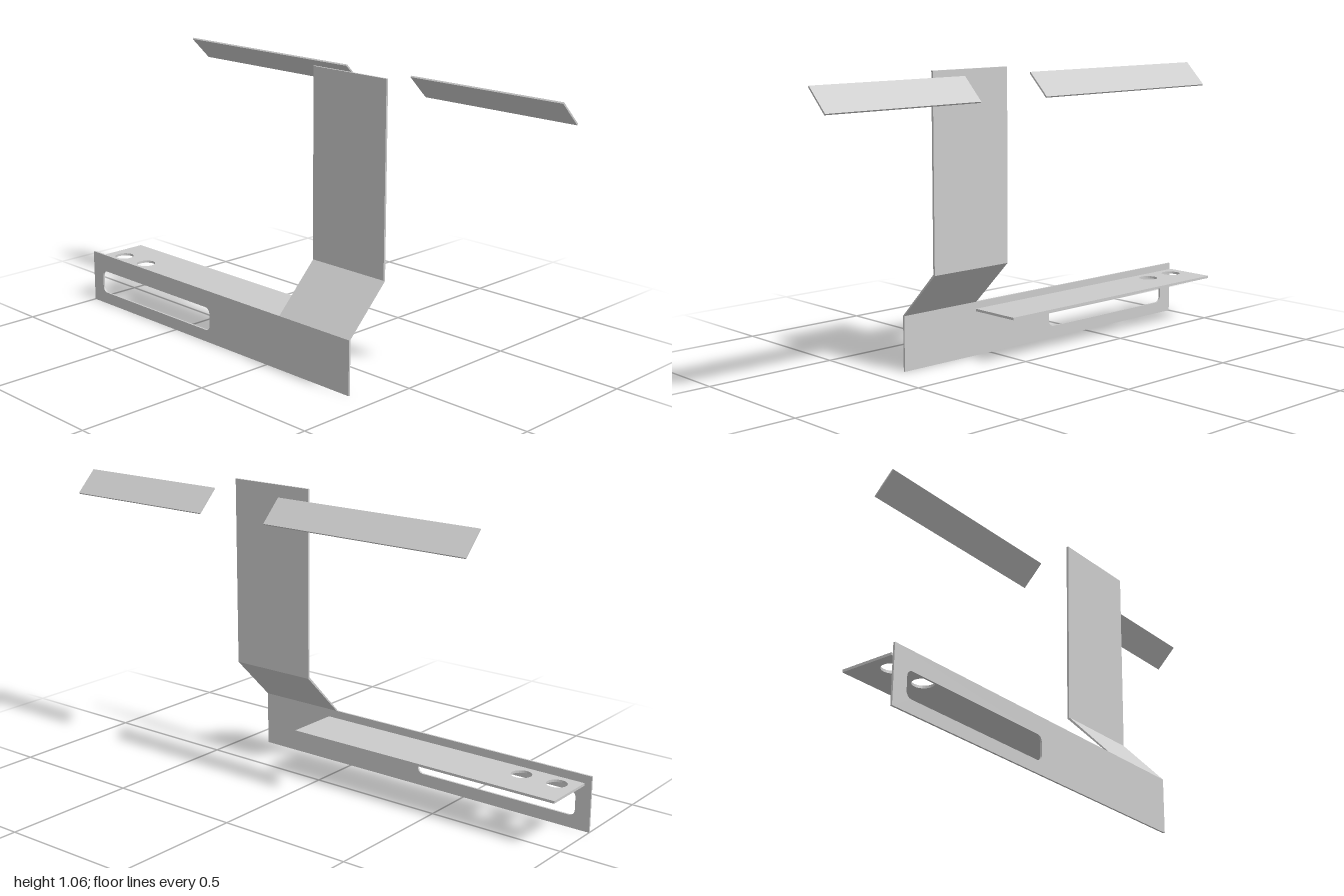
import * as THREE from 'three';

const material = new THREE.MeshStandardMaterial({ color: 0xcccccc, flatShading: true });

// Closed polygon from [x, y] pairs
const polygon = (points) => new THREE.Shape(points.map(([x, y]) => new THREE.Vector2(x, y)));
const rect = (x0, y0, x1, y1) => polygon([[x0, y0], [x1, y0], [x1, y1], [x0, y1]]);

function extrude(shape, depth) {
  return new THREE.ExtrudeGeometry(shape, { depth, bevelEnabled: false, curveSegments: 12 });
}

function roundedSlot(x0, y0, x1, y1, r) {
  const p = new THREE.Path();
  p.absarc(x1 - r, y0 + r, r, -Math.PI / 2, 0);
  p.absarc(x1 - r, y1 - r, r, 0, Math.PI / 2);
  p.absarc(x0 + r, y1 - r, r, Math.PI / 2, Math.PI);
  p.absarc(x0 + r, y0 + r, r, Math.PI, Math.PI * 1.5);
  p.closePath();
  return p;
}

export function createModel() {
  const group = new THREE.Group();
  const add = (name, geometry) => {
    const mesh = new THREE.Mesh(geometry, material);
    mesh.name = name;
    group.add(mesh);
    return mesh;
  };

  // Upright side plate with a long slot, drawn in (-z, y)
  const side = rect(-0.403, 0, 1, 0.2);
  side.holes.push(roundedSlot(0.305, 0.045, 0.943, 0.134, 0.022));
  add('sidePlate', extrude(side, 0.007).rotateY(Math.PI / 2).translate(-0.197, 0, 0));

  // Horizontal shelf with two round holes, drawn in (x, -z)
  const shelf = rect(-0.17, -0.087, 0.028, 0.985);
  for (const y of [0.78, 0.915]) {
    shelf.holes.push(new THREE.Path().absarc(-0.11, y, 0.036, 0, Math.PI * 2));
  }
  add('shelf', extrude(shelf, 0.009).rotateX(-Math.PI / 2).translate(0, 0.171, 0));

  // Sloped panel and tall panel above the side plate, mitred where they meet
  const panels = {
    slopedPanel: [[-0.197, 0.2], [-0.19, 0.2], [-0.023, 0.367], [-0.031, 0.37]],
    tallPanel: [[-0.031, 0.37], [-0.023, 0.367], [-0.023, 1.06], [-0.031, 1.06]],
  };
  for (const [name, profile] of Object.entries(panels)) {
    add(name, extrude(polygon(profile), 0.336).translate(0, 0, 0.067));
  }

  // Two tilted strips floating in line
  const strips = { frontStrip: [0.382, 1], backStrip: [-0.73, 0.087] };
  for (const [name, [z0, z1]] of Object.entries(strips)) {
    const strip = add(name, new THREE.BoxGeometry(0.112, 0.006, z1 - z0));
    strip.position.set(0.152, 1.007, (z0 + z1) / 2);
    strip.rotation.z = -Math.PI / 4;
  }
  return group;
}
